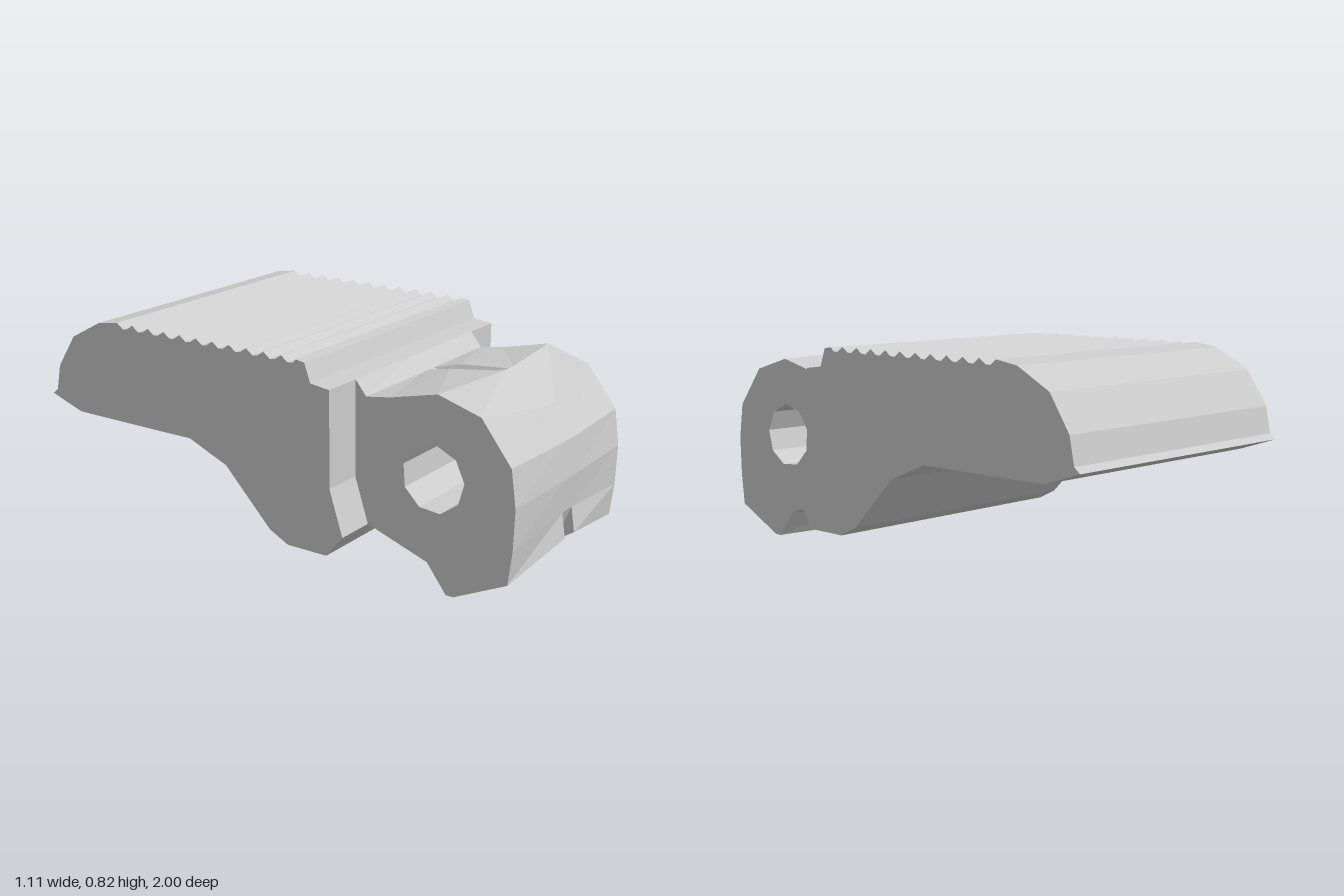
import * as THREE from 'three';

const material = new THREE.MeshStandardMaterial({ color: 0xcccccc, flatShading: true, side: THREE.DoubleSide });

// Extrudes a (z, y) profile along x, from x0 to x1
function extrudeAcross(points, x0, x1, steps = 1, hole = null) {
  const shape = new THREE.Shape(points.map(([z, y]) => new THREE.Vector2(z, y)));
  if (hole) shape.holes.push(new THREE.Path(hole));
  const geometry = new THREE.ExtrudeGeometry(shape, { depth: x1 - x0, steps, bevelEnabled: false });
  geometry.rotateY(-Math.PI / 2);
  geometry.translate(x1, 0, 0);
  return geometry;
}

// Moves each profile point to its partner wherever the x test holds
function morph(geometry, from, to, test) {
  const p = geometry.attributes.position;
  for (let i = 0; i < p.count; i++) {
    if (!test(p.getX(i))) continue;
    const k = from.findIndex(([z, y]) => Math.hypot(z - p.getZ(i), y - p.getY(i)) < 1e-4);
    if (k >= 0) p.setXYZ(i, p.getX(i), to[k][1], to[k][0]);
  }
  geometry.computeVertexNormals();
  return geometry;
}

export function createModel() {
  const model = new THREE.Group();
  const add = (name, geometry) => {
    const mesh = new THREE.Mesh(geometry, material);
    mesh.name = name;
    model.add(mesh);
  };

  // Wide lever with a ribbed top
  const body = [
    [0.345, 0.73], [0.345, 0.37], [0.4, 0.2], [0.33, 0.115], [0.16, 0.115], [0.08, 0.155],
    [-0.12, 0.36], [-0.29, 0.43], [-0.85, 0.43], [-1, 0.48], [-0.975, 0.5], [-0.955, 0.6],
    [-0.87, 0.73], [-0.73, 0.805],
  ];
  for (let i = 0; i < 11; i++) {
    const z = -0.62 + i * 0.0775;
    body.push([z - 0.015, 0.82], [z + 0.013, 0.799], [z + 0.034, 0.801]);
  }
  body.push([0.205, 0.815], [0.24, 0.81], [0.265, 0.74]);
  add('ribbedLever', extrudeAcross(body, -0.555, 0.555));

  // Pivot lug: profiles at its outer sides and next to the middle
  const outer = [
    [0.3, 0.73], [0.345, 0.73], [0.39, 0.675], [0.49, 0.69], [0.68, 0.735], [0.85, 0.685],
    [0.97, 0.53], [0.99, 0.39], [0.985, 0.235], [0.97, 0.11], [0.76, 0.01], [0.73, 0.01],
    [0.65, 0.115], [0.4, 0.2], [0.3, 0.2],
  ];
  const inner = [
    [0.3, 0.73], [0.345, 0.73], [0.4, 0.68], [0.51, 0.71], [0.73, 0.74], [0.9, 0.64],
    [0.98, 0.525], [0.995, 0.39], [0.985, 0.26], [1, 0.165], [0.755, 0], [0.73, 0],
    [0.65, 0.115], [0.4, 0.115], [0.3, 0.115],
  ];
  const bore = [];
  for (let i = 0; i < 9; i++) {
    const a = (i / 9) * Math.PI * 2 + 0.08;
    bore.push(new THREE.Vector2(0.668 + 0.125 * Math.cos(a), 0.428 + 0.125 * Math.sin(a)));
  }
  const gap = 0.036;
  add('leftLug', morph(extrudeAcross(outer, gap, 0.397, 1, bore), outer, inner, (x) => x < 0.1));
  add('rightLug', morph(extrudeAcross(outer, -0.397, -gap, 1, bore), outer, inner, (x) => x > -0.1));

  // Narrow middle: slot through the lower lip, small diamond dent on top
  const core = [...inner.slice(0, 9), [0.93, 0.125], ...inner.slice(12)];
  const dented = core.map(([z, y], i) => [z, i === 3 ? y - 0.04 : y]);
  add('lugCore', morph(extrudeAcross(core, -gap, gap, 2, bore), core, dented, (x) => Math.abs(x) < 0.01));

  return model;
}
